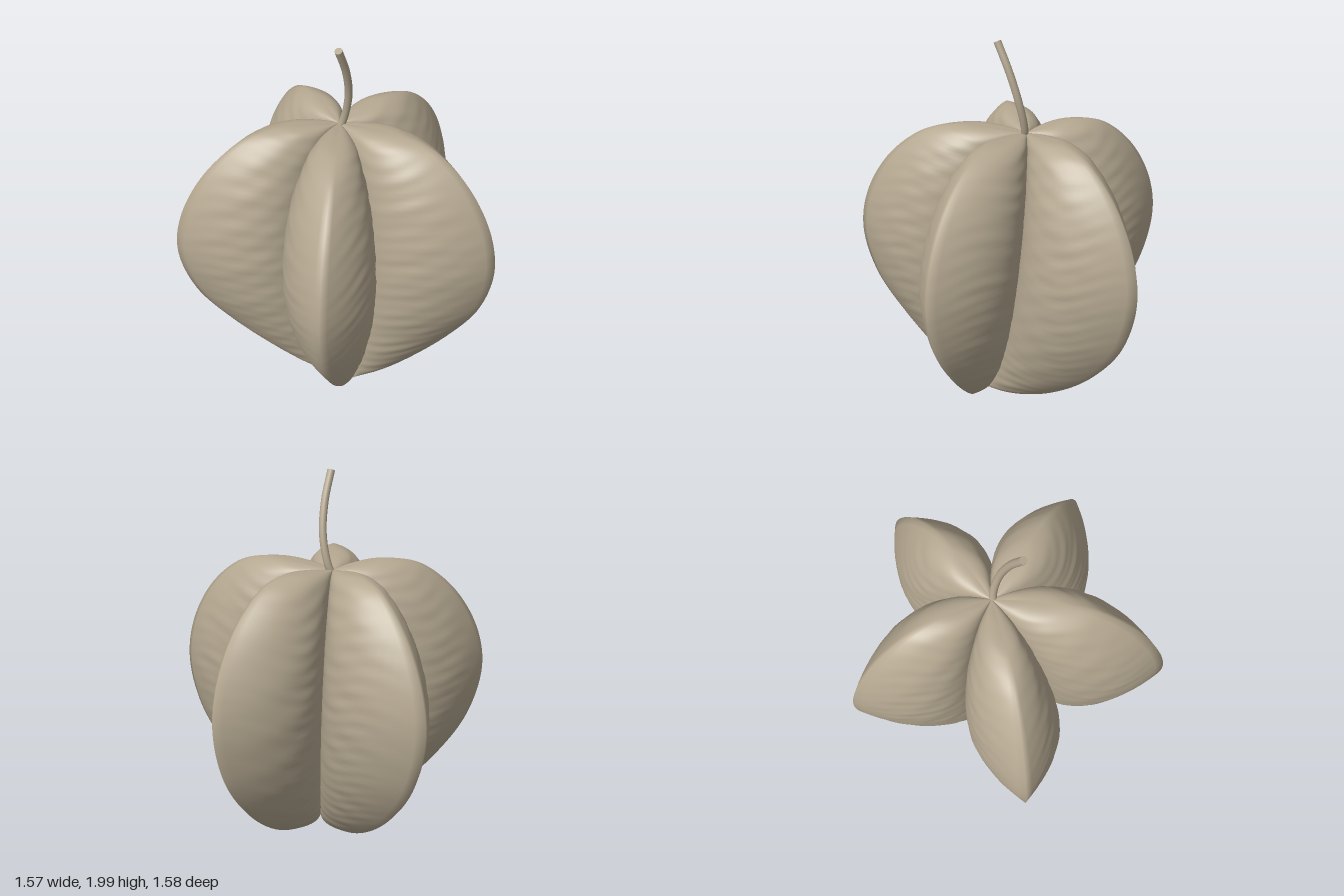
import * as THREE from 'three';
import { mergeVertices } from 'three/addons/utils/BufferGeometryUtils.js';

const ROWS = 120, HALF = 20;
const TIP = new THREE.Vector3(0.11, 0.01, 0.19);
const CROWN = new THREE.Vector3(-0.08, 1.525, 0);

// Outer ridge and inner valley profiles: (radius, height), bottom to top
const profile = (pts) => new THREE.CatmullRomCurve3(pts.map(([r, y]) => new THREE.Vector3(r, y, 0)));
const ridgeCurve = profile([[0, 0.01], [0.25, 0.08], [0.47, 0.2], [0.72, 0.4], [0.92, 0.64], [1, 0.9],
  [0.96, 1.12], [0.81, 1.35], [0.59, 1.51], [0.4, 1.555], [0.2, 1.55], [0, 1.525]]);
const valleyCurve = profile([[0, 0.01], [0.05, 0.1], [0.11, 0.22], [0.18, 0.4], [0.24, 0.62], [0.27, 0.85],
  [0.26, 1.05], [0.22, 1.25], [0.15, 1.4], [0.09, 1.48], [0.04, 1.51], [0, 1.525]]);

// Five lobes: [angle in degrees, reach, sag of the underside]
const LOBES = [[-6, 0.787, 0], [66.8, 0.852, 0], [135, 0.905, 0.01], [204, 0.857, 0.035], [276.5, 0.797, 0.035]];

function ridgePoint(u, angle, reach, sag) {
  const p = ridgeCurve.getPoint(u);
  const f = Math.max(0, p.x), w = (1 - f) ** 2;
  const base = u < 0.5 ? TIP : CROWN;
  const drop = u < 0.45 ? sag * 4 * f * (1 - f) : 0;
  return new THREE.Vector3(f * reach * Math.cos(angle) + w * base.x, p.y - drop,
    f * reach * Math.sin(angle) + w * base.z);
}

// Valleys follow the leaning core of the fruit
function valleyPoint(u, angle) {
  const p = valleyCurve.getPoint(u);
  const s = Math.min(1, Math.max(0, (p.y - 0.01) / 1.515)) ** 0.5;
  return new THREE.Vector3(
    THREE.MathUtils.lerp(TIP.x, CROWN.x, s) + p.x * Math.cos(angle), p.y,
    THREE.MathUtils.lerp(TIP.z, CROWN.z, s) + p.x * Math.sin(angle));
}

// Bulging section from a valley to the ridge
function flank(u, [deg, reach, sag], valleyDeg, side) {
  const angle = THREE.MathUtils.degToRad(deg);
  const v = valleyPoint(u, THREE.MathUtils.degToRad(valleyDeg));
  const r = ridgePoint(u, angle, reach, sag);
  const dy = r.y - v.y;
  const chord = new THREE.Vector3(r.x - v.x, 0, r.z - v.z);
  const length = chord.length();
  const dir = chord.clone().normalize();
  const out = new THREE.Vector3(-Math.sin(angle) * side, 0, Math.cos(angle) * side);
  out.addScaledVector(dir, -out.dot(dir)).normalize();
  const soft = THREE.MathUtils.smoothstep(u, 0.62, 0.9);
  const control = (along, across, rise) => v.clone().addScaledVector(dir, along * length)
    .addScaledVector(out, across * length).setY(v.y + rise * dy);
  return {
    curve: new THREE.CubicBezierCurve3(v, control(0.19, 0.25, 0.5),
      control(0.57 + 0.12 * soft, 0.285, 0.97), r),
    out, length,
  };
}

// Fine, mostly horizontal wrinkles
const wrinkle = (p, k) => 0.0016 * Math.sin(p.y * 88 + 4 * Math.sin(p.x * 9 + k) + 3 * Math.sin(p.z * 11))
  + 0.0024 * Math.sin(p.y * 41 - p.x * 17 + k * 2) * Math.sin(p.z * 23 + p.y * 13 + k);

function lobeGeometry(index) {
  const lobe = LOBES[index];
  const positions = [], faces = [], cols = HALF * 2 + 1;
  for (let i = 0; i <= ROWS; i++) {
    const u = i / ROWS;
    const flanks = [flank(u, lobe, 72 * index - 42, -1), flank(u, lobe, 72 * index + 30, 1)];
    for (let j = 0; j < cols; j++) {
      const { curve, out, length } = flanks[j <= HALF ? 0 : 1];
      const t = 1 - Math.abs(j - HALF) / HALF;
      const p = curve.getPoint(t);
      p.addScaledVector(out, wrinkle(p, index) * Math.sin(Math.PI * t) * Math.min(1, length * 3));
      positions.push(p.x, p.y, p.z);
      if (i < ROWS && j < cols - 1) {
        const a = i * cols + j, b = a + cols;
        if (i > 0) faces.push(a, b, a + 1);
        if (i < ROWS - 1) faces.push(a + 1, b, b + 1);
      }
    }
  }
  const grid = new THREE.BufferGeometry();
  grid.setAttribute('position', new THREE.Float32BufferAttribute(positions, 3));
  grid.setIndex(faces);
  const geo = mergeVertices(grid);
  geo.computeVertexNormals();
  return geo;
}

export function createModel() {
  const model = new THREE.Group();
  const material = new THREE.MeshStandardMaterial({ color: 0xb5a891 });
  const add = (name, geo, parent = model) => {
    const mesh = new THREE.Mesh(geo, material);
    mesh.name = name;
    parent.add(mesh);
    return mesh;
  };

  // Husk of five pointed lobes
  const husk = new THREE.Group();
  husk.name = 'husk';
  model.add(husk);
  LOBES.forEach((_, i) => add('lobe' + (i + 1), lobeGeometry(i), husk));

  // Curved stem with a cut end
  const path = new THREE.CatmullRomCurve3([[-0.08, 1.48, 0.01], [-0.055, 1.56, -0.008], [-0.022, 1.7, 0.002],
    [-0.005, 1.85, 0.047], [0, 1.992, 0.115]].map((p) => new THREE.Vector3(...p)));
  add('stem', new THREE.TubeGeometry(path, 32, 0.019, 14));
  const cap = add('stemEnd', new THREE.CircleGeometry(0.019, 14));
  cap.position.copy(path.getPoint(1));
  cap.quaternion.setFromUnitVectors(new THREE.Vector3(0, 0, 1), path.getTangent(1));
  return model;
}
